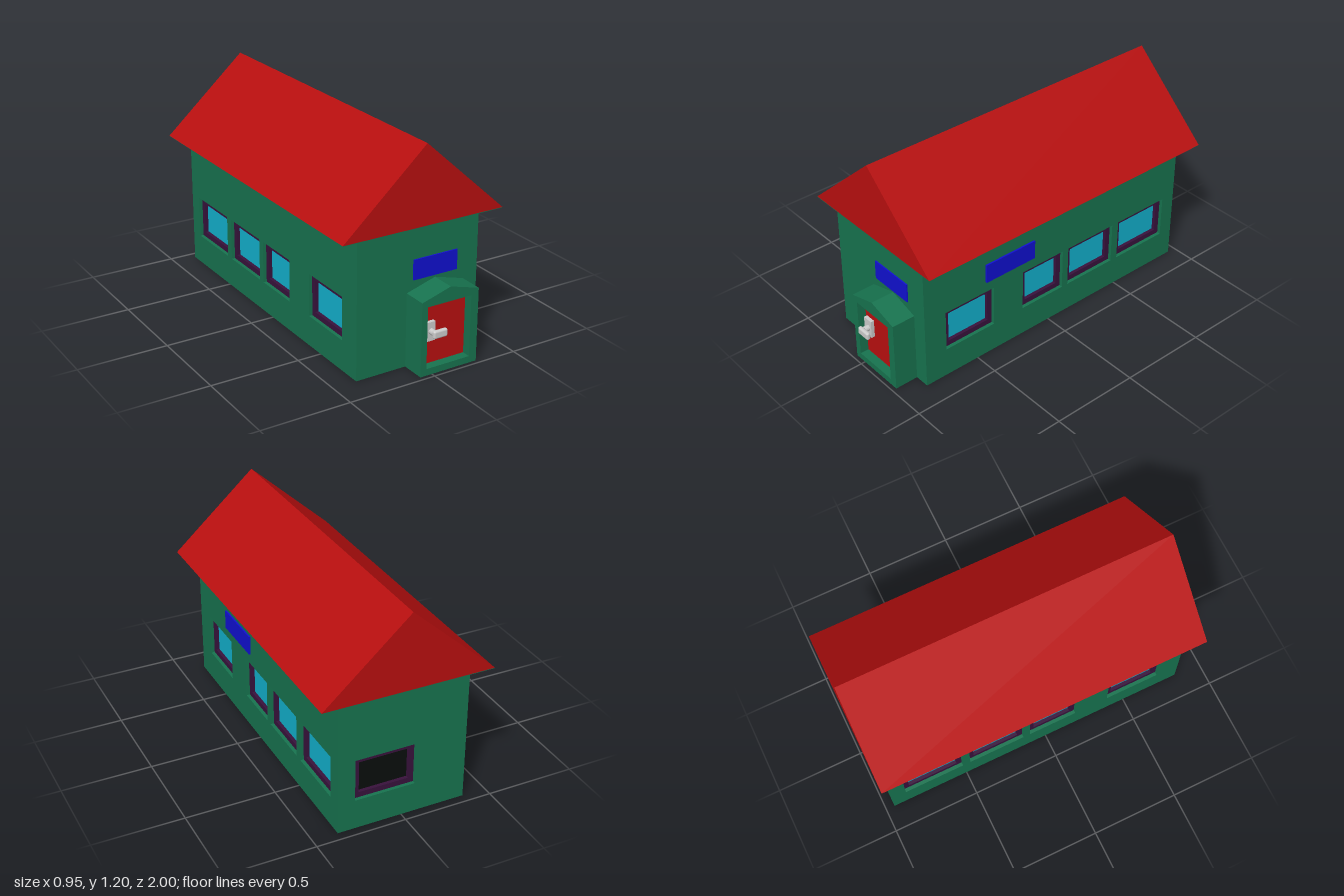
import * as THREE from 'three';
import { RoundedBoxGeometry } from 'three/addons/geometries/RoundedBoxGeometry.js';

const mat = (color) => new THREE.MeshStandardMaterial({ color, flatShading: true });

export function createModel() {
  const house = new THREE.Group();
  house.name = 'house';
  const green = mat(0x17734f), red = mat(0xb80f0f), blue = mat(0x1010d0);
  const cyan = mat(0x12b0cc), purple = mat(0x38123c), dark = mat(0x0a0e0c), grey = mat(0xcccccc);

  const add = (parent, name, geometry, material, x = 0, y = 0, z = 0) => {
    const mesh = new THREE.Mesh(geometry, material);
    mesh.name = name;
    mesh.position.set(x, y, z);
    parent.add(mesh);
    return mesh;
  };
  // box given by its limits on each axis
  const block = (parent, name, material, [x0, x1], [y0, y1], [z0, z1]) =>
    add(parent, name, new THREE.BoxGeometry(x1 - x0, y1 - y0, z1 - z0), material,
      (x0 + x1) / 2, (y0 + y1) / 2, (z0 + z1) / 2);
  const outline = (points) => new THREE.Shape(points.map(([x, y]) => new THREE.Vector2(x, y)));
  const rect = (x0, x1, y0, y1) => outline([[x0, y0], [x1, y0], [x1, y1], [x0, y1]]);
  const extrude = (shape, depth, holes = []) => {
    shape.holes.push(...holes);
    return new THREE.ExtrudeGeometry(shape, { depth, bevelEnabled: false });
  };

  // Main dimensions
  const X0 = -0.365, X1 = 0.36, Z0 = -0.95, Z1 = 0.84, EAVE = 0.77;
  const CX = (X0 + X1) / 2, CZ = (Z0 + Z1) / 2, T = 0.045;
  const SILL = 0.17, HEAD = 0.41, BAR = 0.03;

  // Solid core behind the pierced outer walls
  block(house, 'core', green, [X0 + T, X1 - T], [0, EAVE], [Z0 + T, Z1]);

  // Outer wall with sunken windows; it faces its own +z, windows are [u0, u1]
  const wall = (name, length, windows, paneMaterial) => {
    const group = new THREE.Group();
    group.name = name;
    const holes = windows.map(([a, b]) => rect(a, b, SILL, HEAD));
    add(group, 'wallPanel', extrude(rect(-length / 2, length / 2, 0, EAVE), T, holes), green);
    for (const [a, b] of windows) {
      const opening = rect(a + BAR, b - BAR, SILL + BAR, HEAD - BAR);
      add(group, 'windowFrame', extrude(rect(a, b, SILL, HEAD), T - 0.02, [opening]), purple);
      block(group, 'windowPane', paneMaterial,
        [a + BAR, b - BAR], [SILL + BAR, HEAD - BAR], [0, 0.006]);
    }
    house.add(group);
    return group;
  };

  // Long sides, mirrored, four windows each (limits in z)
  const sideWindows = [[0.385, 0.705], [-0.1, 0.185], [-0.47, -0.14], [-0.865, -0.515]];
  for (const side of [1, -1]) {
    const spans = sideWindows.map(([a, b]) =>
      side > 0 ? [CZ - b, CZ - a] : [a - CZ, b - CZ]);
    const panel = wall(side > 0 ? 'leftWall' : 'rightWall', Z1 - Z0, spans, cyan);
    panel.rotation.y = side * Math.PI / 2;
    panel.position.set(side > 0 ? X1 - T : X0 + T, 0, CZ);
  }

  // Back wall with one window
  const back = wall('backWall', X1 - X0 - 2 * T, [[CX - 0.265, CX + 0.075]], dark);
  back.rotation.y = Math.PI;
  back.position.set(CX, 0, Z0 + T);

  // Gabled roof with a green soffit below
  add(house, 'roof', extrude(outline([[-0.475, EAVE + 0.003], [0.475, EAVE + 0.003], [0, 1.2]]), 1.885),
    red, 0, 0, -1);
  block(house, 'soffit', green, [-0.473, 0.473], [EAVE, EAVE + 0.003], [-1, 0.885]);

  // Porch with a low gable and a sunken door
  const porch = new THREE.Group();
  porch.name = 'porch';
  house.add(porch);
  add(porch, 'porchBody', extrude(
    outline([[-0.07, 0], [0.275, 0], [0.275, 0.41], [0.1, 0.46], [-0.07, 0.41]]),
    0.135, [rect(-0.035, 0.23, 0.037, 0.38)]), green, 0, 0, Z1);
  block(porch, 'door', red, [-0.035, 0.23], [0.037, 0.38], [Z1, 0.925]);

  // Door handle: plate, stem and rounded lever
  block(porch, 'handlePlate', grey, [-0.025, 0.035], [0.17, 0.275], [0.925, 0.945]);
  const stem = add(porch, 'handleStem', new THREE.CylinderGeometry(0.016, 0.016, 0.045, 16),
    grey, 0.01, 0.225, 0.962);
  stem.rotation.x = Math.PI / 2;
  const smoothGrey = new THREE.MeshStandardMaterial({ color: 0xcccccc });
  add(porch, 'handleLever', new RoundedBoxGeometry(0.085, 0.045, 0.025, 3, 0.011),
    smoothGrey, 0.0325, 0.225, 0.9875);

  // Blue signs on the front and on the left side
  block(house, 'frontSign', blue, [-0.035, 0.23], [0.475, 0.585], [Z1, Z1 + 0.008]);
  block(house, 'sideSign', blue, [X1, X1 + 0.01], [0.475, 0.585], [0.11, 0.44]);

  return house;
}
